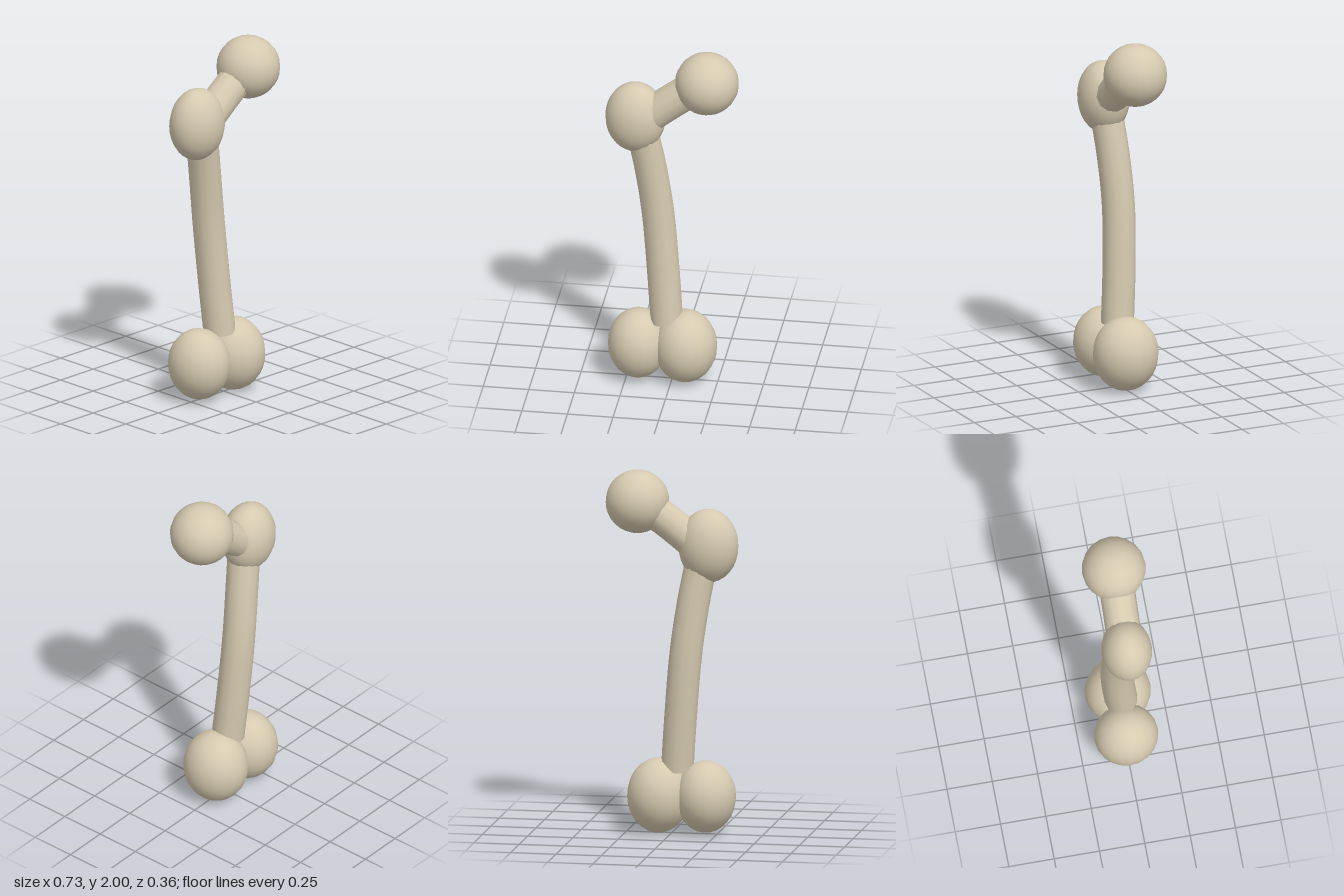
import * as THREE from 'three';

const v = (x, y, z = 0) => new THREE.Vector3(x, y, z);

export function createModel() {
  const model = new THREE.Group();
  model.name = 'thighBone';
  const bone = new THREE.MeshStandardMaterial({ color: 0xd6cab0, side: THREE.DoubleSide });
  bone.name = 'bone';

  const add = (name, geometry) => {
    const mesh = new THREE.Mesh(geometry, bone);
    mesh.name = name;
    model.add(mesh);
    return mesh;
  };

  // Rounded ends: name, centre, radii
  const knobs = [
    ['head', [0.19, 1.827, 0], [0.174, 0.173, 0.174]],
    ['upperKnob', [-0.202, 1.595, 0], [0.165, 0.202, 0.138]],
    ['rightKnuckle', [-0.187, 0.21, 0], [0.165, 0.197, 0.175]],
    ['leftKnuckle', [0.072, 0.21, 0], [0.173, 0.205, 0.181]],
  ];
  for (const [name, centre, radii] of knobs) {
    const mesh = add(name, new THREE.SphereGeometry(1, 20, 16));
    mesh.position.set(...centre);
    mesh.scale.set(...radii);
  }

  // Gently bowed shaft
  const shaftPath = new THREE.CatmullRomCurve3([
    v(-0.03, 0.355, 0), v(-0.052, 0.65, -0.02), v(-0.083, 1.0, -0.032),
    v(-0.122, 1.28, -0.02), v(-0.175, 1.56, 0.005),
  ]);
  add('shaft', new THREE.TubeGeometry(shaftPath, 20, 0.09, 12));

  // Slanted neck that carries the head
  const neckPath = new THREE.CatmullRomCurve3([
    v(-0.16, 1.58), v(-0.07, 1.652), v(0.06, 1.75), v(0.19, 1.827),
  ]);
  add('neck', new THREE.TubeGeometry(neckPath, 8, 0.096, 12));

  return model;
}
